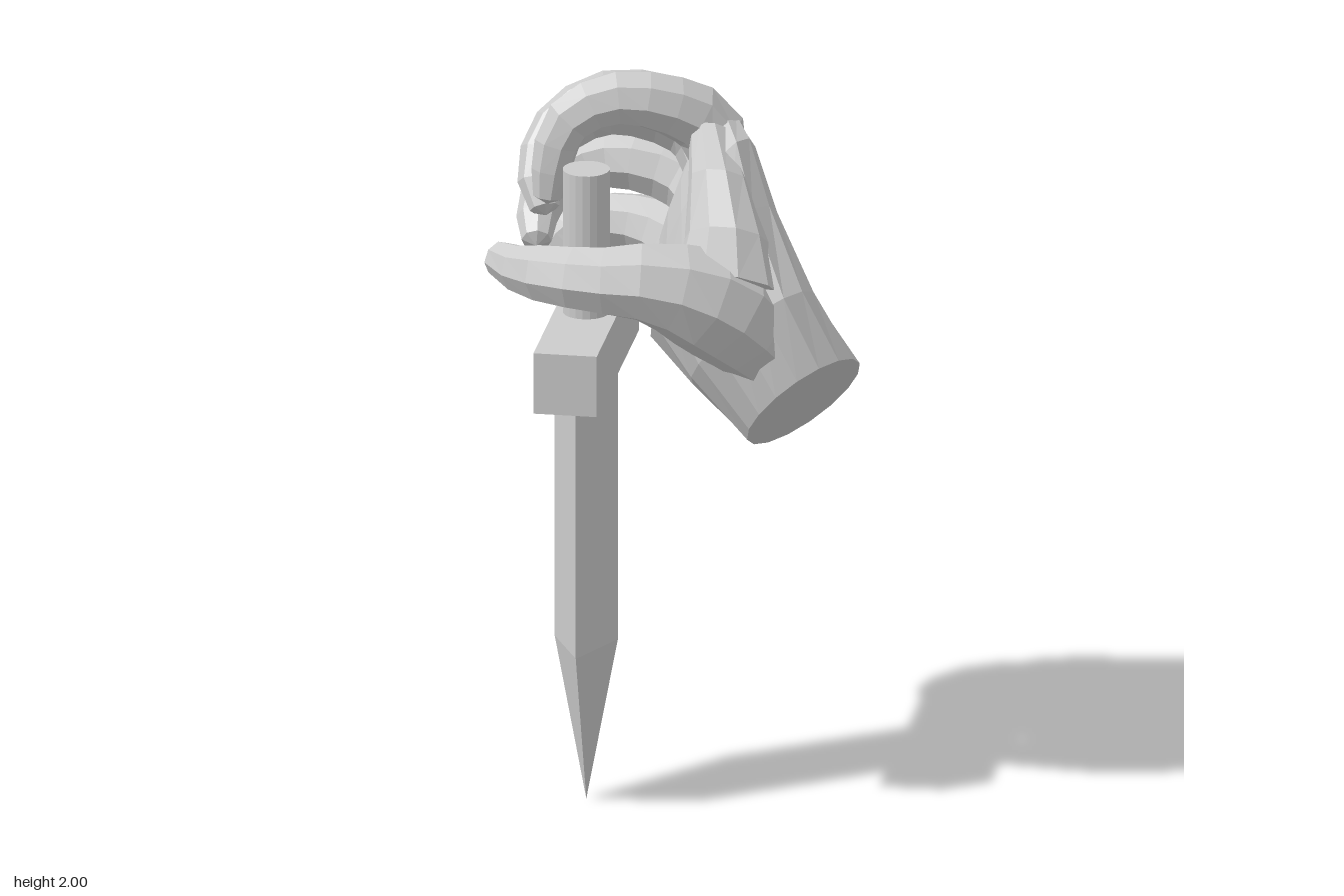
import * as THREE from 'three';

const V = (x, y, z) => new THREE.Vector3(x, y, z);
const grey = () => new THREE.MeshStandardMaterial({ color: 0xcccccc, flatShading: true });

function mesh(name, geometry) {
  const m = new THREE.Mesh(geometry, grey());
  m.name = name;
  return m;
}

// Skin closed rings of points (counter-clockwise about the travel direction)
function skin(rings, startCap, endCap) {
  const pos = [];
  const tri = (...pts) => pts.forEach(p => pos.push(p.x, p.y, p.z));
  const n = rings[0].length;
  for (let j = 0; j < n; j++) {
    const k = (j + 1) % n;
    for (let i = 0; i < rings.length - 1; i++) {
      const a = rings[i], b = rings[i + 1];
      tri(a[j], a[k], b[k]);
      tri(a[j], b[k], b[j]);
    }
    tri(startCap, rings[0][k], rings[0][j]);
    const last = rings[rings.length - 1];
    tri(endCap, last[j], last[k]);
  }
  const g = new THREE.BufferGeometry();
  g.setAttribute('position', new THREE.Float32BufferAttribute(pos, 3));
  g.computeVertexNormals();
  return g;
}

// Ring from a centre and two half axes
function ellipse(c, u, v, sides) {
  return Array.from({ length: sides }, (_, j) => {
    const a = (j / sides) * Math.PI * 2;
    return c.clone().addScaledVector(u, Math.cos(a)).addScaledVector(v, Math.sin(a));
  });
}

// Loft through sections [centre, half axis, half axis]
function loft(sections, sides) {
  const rings = sections.map(([c, u, v]) => ellipse(c, u, v, sides));
  return skin(rings, sections[0][0], sections[sections.length - 1][0]);
}

// Tapered limb along points [x, y, z, radius]
function limb(points, steps = 11, sides = 8) {
  const path = new THREE.CatmullRomCurve3(points.map(p => V(p[0], p[1], p[2])));
  const radius = new THREE.CatmullRomCurve3(points.map(p => V(p[3], 0, 0)));
  const rings = [];
  let side = V(0.1, 0.3, 1);
  for (let i = 0; i <= steps; i++) {
    const t = i / steps, dir = path.getTangentAt(t), r = radius.getPoint(path.getUtoTmapping(t)).x;
    side = side.clone().addScaledVector(dir, -side.dot(dir)).normalize();
    const up = dir.clone().cross(side);
    rings.push(ellipse(path.getPointAt(t), side.clone().multiplyScalar(r), up.multiplyScalar(r), sides));
  }
  const tipRadius = points[points.length - 1][3];
  const tip = path.getPoint(1).addScaledVector(path.getTangent(1), tipRadius * 0.5);
  return skin(rings, path.getPoint(0), tip);
}

function createDagger() {
  const g = new THREE.Group();
  g.name = 'dagger';
  g.position.set(-0.23, 0, 0.1);

  const handle = mesh('handle', new THREE.CylinderGeometry(0.063, 0.063, 0.42, 20));
  handle.position.y = 1.57;
  const guard = mesh('guard', new THREE.BoxGeometry(0.17, 0.17, 0.69));
  guard.position.y = 1.293;

  // diamond-section blade and its point
  const blade = mesh('blade', new THREE.CylinderGeometry(1, 1, 0.75, 4, 1, true).scale(0.085, 1, 0.172));
  blade.position.y = 0.835;
  const point = mesh('bladePoint', new THREE.CylinderGeometry(1, 0, 0.455, 4, 1, true).scale(0.085, 1, 0.172));
  point.position.y = 0.2325;
  g.add(handle, guard, blade, point);
  return g;
}

function createHand() {
  const g = new THREE.Group();
  g.name = 'hand';

  // wrist to knuckles: centre, half axis across the hand, half axis through it
  g.add(mesh('palmAndWrist', loft([
    [V(0.345, 1.14, 0.05), V(0.07, 0.158, 0.172), V(0.13, 0.05, -0.1)],
    [V(0.205, 1.3, 0.02), V(0.115, 0.19, 0.2), V(0.13, 0.045, -0.1)],
    [V(0.085, 1.44, -0.07), V(0.135, 0.26, 0.19), V(0.115, 0.02, -0.135)],
    [V(0.05, 1.57, -0.15), V(0.11, 0.28, 0.17), V(0.085, 0.03, -0.125)],
    [V(0.02, 1.62, -0.22), V(0.095, 0.26, 0.13), V(0.065, 0.02, -0.11)],
    [V(-0.01, 1.63, -0.27), V(0.075, 0.22, 0.11), V(0.03, 0.01, -0.08)],
  ], 16)));

  // web of skin from the thumb up to the first knuckle
  const across = V(0, -0.66, -0.75);
  g.add(mesh('thumbWeb', loft([
    [1.48, 0.16, 0.18, 0.15, 0.13], [1.61, 0.155, 0.135, 0.115, 0.11],
    [1.74, 0.12, 0.04, 0.085, 0.1], [1.83, 0.075, -0.09, 0.06, 0.08],
  ].map(([y, x, z, a, b]) => [V(x, y, z), V(a, 0, 0), across.clone().multiplyScalar(b)]), 10)));

  const limbs = {
    indexFinger: [[0.1, 1.68, -0.11, 0.06], [0.06, 1.84, -0.12, 0.092], [-0.08, 1.925, -0.06, 0.08],
      [-0.2, 1.93, -0.03, 0.073], [-0.3, 1.87, 0, 0.067], [-0.335, 1.76, 0.02, 0.056], [-0.345, 1.67, 0.03, 0.04]],
    middleFinger: [[0.09, 1.63, -0.15, 0.07], [0.02, 1.78, -0.25, 0.097], [-0.12, 1.835, -0.265, 0.092],
      [-0.25, 1.835, -0.255, 0.086], [-0.36, 1.77, -0.2, 0.073], [-0.395, 1.67, -0.12, 0.058], [-0.37, 1.6, -0.07, 0.04]],
    ringFinger: [[0.09, 1.52, -0.17, 0.07], [-0.01, 1.61, -0.315, 0.095], [-0.16, 1.65, -0.345, 0.087],
      [-0.28, 1.64, -0.345, 0.08], [-0.385, 1.59, -0.28, 0.069], [-0.41, 1.53, -0.19, 0.056], [-0.4, 1.49, -0.12, 0.04]],
    littleFinger: [[0.06, 1.38, -0.18, 0.07], [-0.05, 1.44, -0.32, 0.092], [-0.18, 1.465, -0.37, 0.08],
      [-0.3, 1.455, -0.375, 0.073], [-0.37, 1.415, -0.33, 0.063], [-0.4, 1.39, -0.24, 0.052], [-0.385, 1.38, -0.17, 0.04]],
    thumb: [[0.32, 1.24, 0.08, 0.1], [0.14, 1.45, 0.195, 0.15], [-0.02, 1.53, 0.27, 0.116],
      [-0.17, 1.535, 0.285, 0.092], [-0.3, 1.535, 0.26, 0.083], [-0.4, 1.525, 0.195, 0.063], [-0.46, 1.53, 0.14, 0.047]],
  };
  for (const [name, points] of Object.entries(limbs)) g.add(mesh(name, limb(points)));
  return g;
}

export function createModel() {
  const model = new THREE.Group();
  model.name = 'handHoldingDagger';
  model.add(createDagger(), createHand());
  return model;
}
